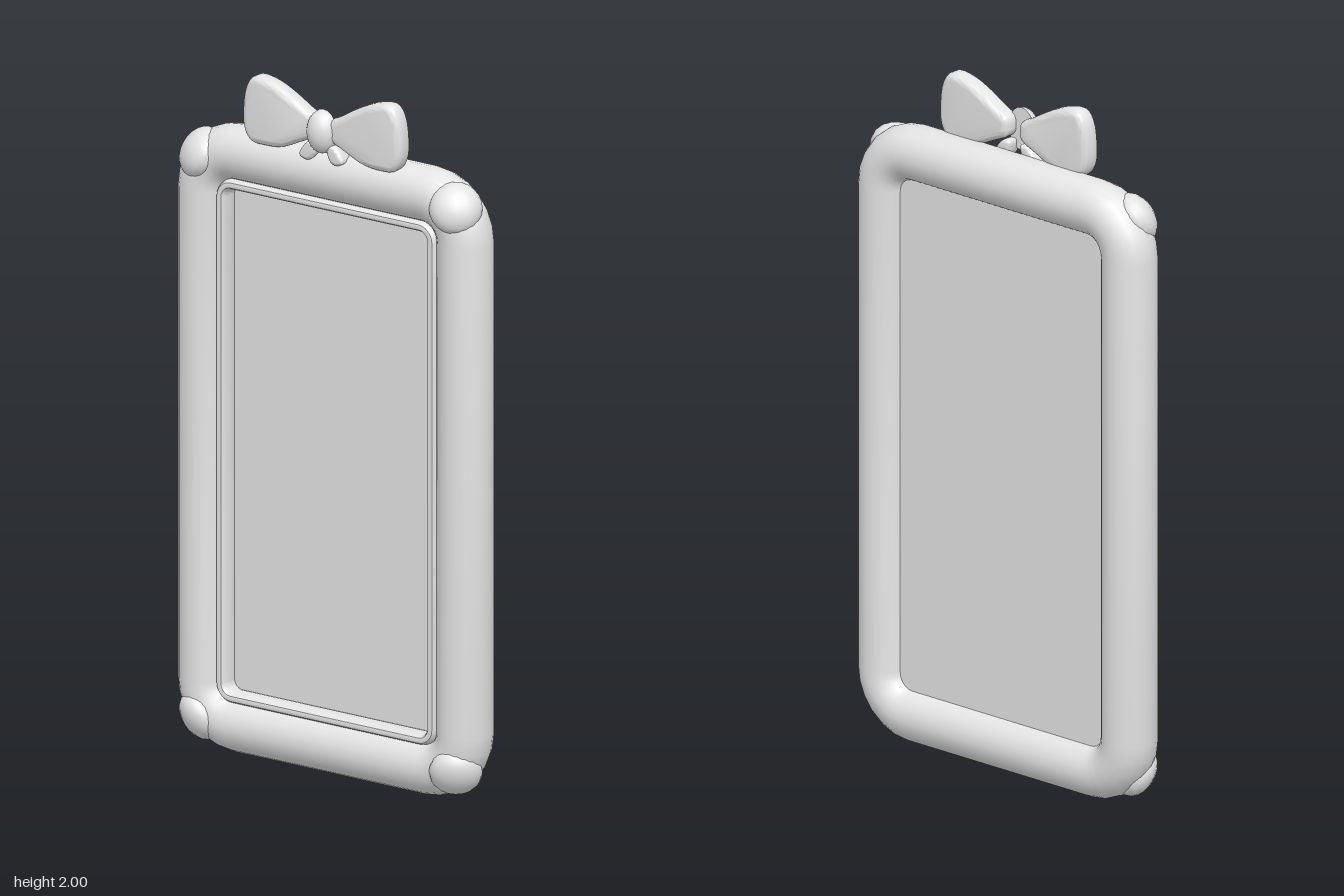
import * as THREE from 'three';
import { toCreasedNormals } from 'three/addons/utils/BufferGeometryUtils.js';

const grey = new THREE.MeshStandardMaterial({ color: 0xe4e4e4 });
grey.name = 'plain grey';

const MID_Y = 0.9125;

function part(name, geometry, parent, x = 0, y = 0, z = 0) {
  const mesh = new THREE.Mesh(geometry, grey);
  mesh.name = name;
  mesh.position.set(x, y, z);
  parent.add(mesh);
  return mesh;
}

// Closed oval profile as [outward, forward] pairs; a lower power is boxier
function ovalProfile(ru, rz, sides, power = 1) {
  const soft = v => Math.sign(v) * Math.abs(v) ** power;
  return Array.from({ length: sides }, (_, i) => {
    const t = i / sides * Math.PI * 2;
    return [ru * soft(Math.cos(t)), rz * soft(Math.sin(t))];
  });
}

// Sweep a profile around a rounded rectangle
function sweepRing(profile, halfW, halfH, bend, steps) {
  const positions = [], index = [], n = profile.length;
  const corners = [[1, 1], [-1, 1], [-1, -1], [1, -1]];
  corners.forEach(([sx, sy], c) => {
    for (let k = 0; k <= steps; k++) {
      const a = (c + k / steps) * Math.PI / 2;
      for (const [u, z] of profile) {
        positions.push(sx * (halfW - bend) + Math.cos(a) * (bend + u),
          sy * (halfH - bend) + Math.sin(a) * (bend + u), z);
      }
    }
  });
  const rows = corners.length * (steps + 1);
  for (let r = 0; r < rows; r++) {
    for (let i = 0; i < n; i++) {
      const a = r * n + i, b = r * n + (i + 1) % n;
      const c = ((r + 1) % rows) * n + i, d = ((r + 1) % rows) * n + (i + 1) % n;
      index.push(a, c, d, a, d, b);
    }
  }
  const geometry = new THREE.BufferGeometry();
  geometry.setAttribute('position', new THREE.Float32BufferAttribute(positions, 3));
  geometry.setIndex(index);
  return toCreasedNormals(geometry, 0.6);
}

// Softly bevelled plate from a closed smooth outline
function softPlate(points, depth, bevel) {
  const curve = new THREE.CatmullRomCurve3(
    points.map(([x, y]) => new THREE.Vector3(x, y, 0)), true, 'centripetal');
  const shape = new THREE.Shape(curve.getPoints(40).slice(0, -1).map(p => new THREE.Vector2(p.x, p.y)));
  const geometry = new THREE.ExtrudeGeometry(shape, {
    depth: depth - 2 * bevel, bevelEnabled: true, bevelThickness: bevel,
    bevelSize: bevel, bevelOffset: -bevel, bevelSegments: 5,
  });
  geometry.translate(0, 0, bevel);
  return toCreasedNormals(geometry, 0.7);
}

export function createModel() {
  const model = new THREE.Group();
  model.name = 'bowFrame';

  // Round frame bar, inner trim and recessed panel
  part('frame', sweepRing(ovalProfile(0.08, 0.08, 20), 0.4525, 0.8325, 0.12, 6), model, 0, MID_Y, -0.015);
  part('innerTrim', sweepRing(ovalProfile(0.016, 0.034, 16, 0.8), 0.369, 0.747, 0.04, 6), model, 0, MID_Y, 0.007);
  part('panel', new THREE.BoxGeometry(0.78, 1.54, 0.024), model, 0, MID_Y, -0.03);

  // Flattened corner knobs, facing outwards and forwards
  const knobShape = new THREE.SphereGeometry(1, 16, 12).scale(0.075, 0.075, 0.052);
  for (const sx of [1, -1]) {
    for (const sy of [1, -1]) {
      const knob = part('cornerKnob', knobShape, model, sx * 0.446, MID_Y + sy * 0.82, 0.021);
      knob.lookAt(knob.position.clone().add(new THREE.Vector3(sx, sy, 1.4)));
    }
  }

  // Bow wings and tails, mirrored by their outlines
  const wing = [[0.02, 1.89], [0.026, 1.915], [0.06, 1.933], [0.125, 1.97], [0.185, 1.994], [0.238, 1.998],
    [0.264, 1.968], [0.276, 1.9], [0.272, 1.84], [0.248, 1.807], [0.2, 1.802], [0.145, 1.807],
    [0.08, 1.834], [0.026, 1.862]];
  const tail = [[0.02, 1.845], [0.045, 1.845], [0.066, 1.825], [0.076, 1.802], [0.05, 1.79], [0.028, 1.804]];
  const bow = new THREE.Group();
  bow.name = 'bow';
  model.add(bow);
  for (const s of [1, -1]) {
    const mirror = points => points.map(([x, y]) => [s * x, y]);
    part('bowWing', softPlate(mirror(wing), 0.06, 0.02), bow);
    part('bowTail', softPlate(mirror(tail), 0.05, 0.01), bow, 0, 0, 0.01);
  }

  // Domed knot with a flat back
  const dome = new THREE.SphereGeometry(1, 20, 8, 0, Math.PI * 2, 0, Math.PI / 2).rotateX(Math.PI / 2);
  const knot = part('bowKnot', dome, bow, 0, 1.88, 0.042);
  knot.scale.set(0.048, 0.064, 0.048);
  const back = part('bowKnotBack', new THREE.CircleGeometry(1, 20).rotateY(Math.PI), bow, 0, 1.88, 0.042);
  back.scale.set(0.048, 0.064, 1);

  return model;
}
